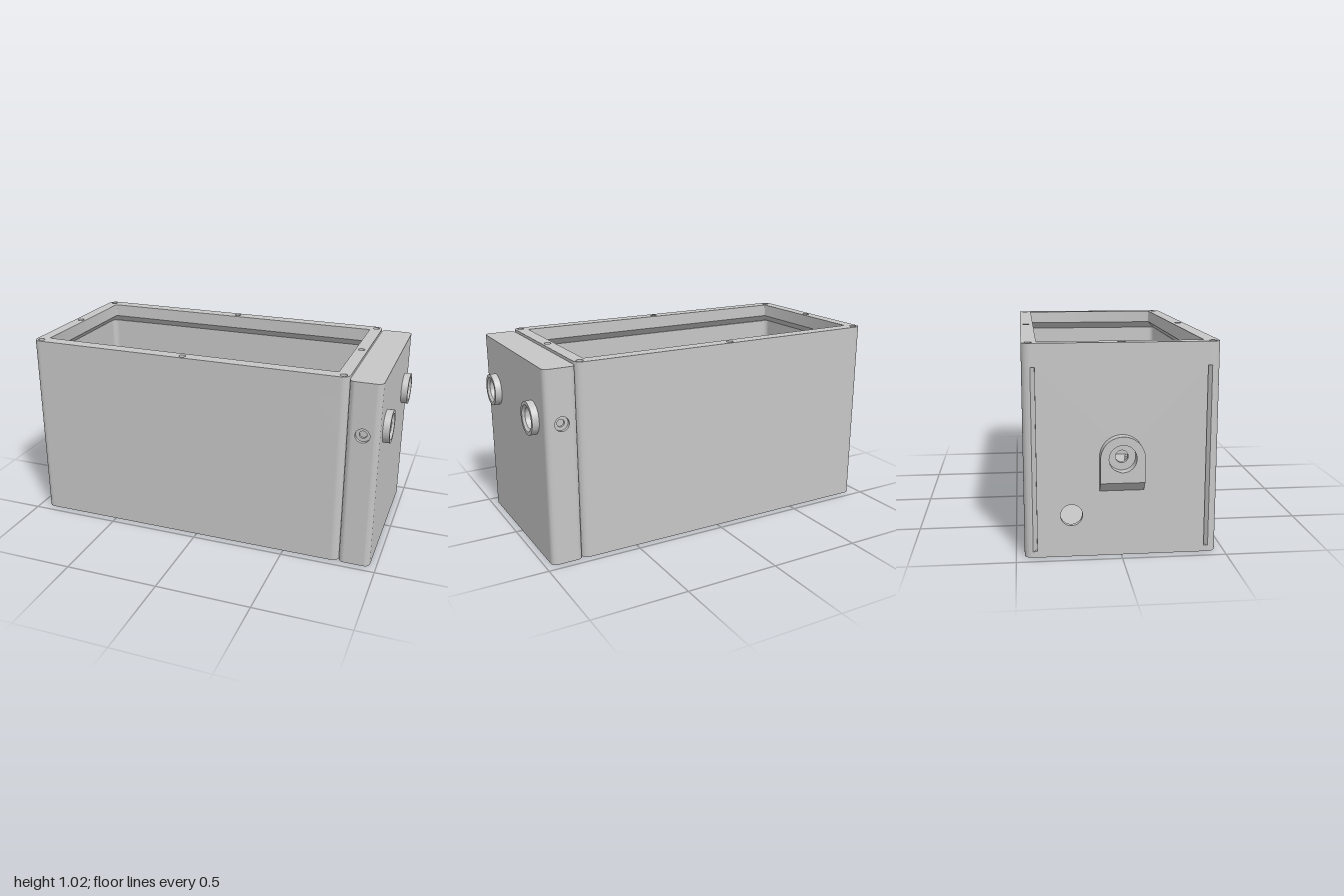
import * as THREE from 'three';
import { toCreasedNormals } from 'three/addons/utils/BufferGeometryUtils.js';

const metal = new THREE.MeshStandardMaterial({ color: 0xc6c6c6 });
metal.name = 'grey metal';

const X0 = -0.95, X1 = 0.8, X2 = 0.965, Z = 0.46; // case ends, end block face, half depth
const IX0 = -0.885, IX1 = 0.735, IZ = 0.39;       // opening inside the rim
const FLARE = 0.04;                               // cavity is wider than the opening
const CX0 = IX0 - FLARE, CX1 = IX1 + FLARE, CZ = IZ + FLARE;
const FLOOR = 0.03, WALL_TOP = 0.91, LIP = 0.95, TOP = 1.02;
const PORT_Y = 0.73, PORT_Z = 0.29;

function roundedRect(x0, x1, z, r, T = THREE.Shape) {
  const s = new T();
  s.absarc(x1 - r, z - r, r, 0, Math.PI / 2);
  s.absarc(x0 + r, z - r, r, Math.PI / 2, Math.PI);
  s.absarc(x0 + r, -z + r, r, Math.PI, Math.PI * 1.5);
  s.absarc(x1 - r, -z + r, r, Math.PI * 1.5, Math.PI * 2);
  s.closePath();
  return s;
}

function rect(x0, x1, y0, y1) {
  return new THREE.Shape([[x0, y0], [x1, y0], [x1, y1], [x0, y1]].map(([x, y]) => new THREE.Vector2(x, y)));
}

function disc(x, y, r) {
  const s = new THREE.Shape();
  s.absarc(x, y, r, 0, Math.PI * 2);
  return s;
}

function punch(shape, ...holes) {
  for (const [x, y, r] of holes) {
    const p = new THREE.Path();
    p.absarc(x, y, r, 0, Math.PI * 2, true);
    shape.holes.push(p);
  }
  return shape;
}

const extrude = (shape, depth) =>
  new THREE.ExtrudeGeometry(shape, { depth, bevelEnabled: false, curveSegments: 24 });
// Shape in (x, -z), raised from y0 to y1
const extrudeY = (shape, y0, y1) => extrude(shape, y1 - y0).rotateX(-Math.PI / 2).translate(0, y0, 0);
// Shape in (-z, y), running from x0 to x1
const extrudeX = (shape, x0, x1) => extrude(shape, x1 - x0).rotateY(Math.PI / 2).translate(x0, 0, 0);
const extrudeZ = (shape, z0, z1) => extrude(shape, z1 - z0).translate(0, 0, z0);

// Rim-shaped frame around the opening
function frame() {
  const s = roundedRect(X0, X1, Z, 0.04);
  s.holes.push(roundedRect(IX0, IX1, IZ, 0.006, THREE.Path));
  return s;
}

export function createModel() {
  const model = new THREE.Group();
  model.name = 'enclosure';
  const add = (name, geometry, parent = model) => {
    const m = new THREE.Mesh(toCreasedNormals(geometry, 0.5), metal);
    m.name = name;
    parent.add(m);
    return m;
  };

  // Case: floor with blind holes underneath, thin long walls, drilled end walls
  const box = new THREE.Group();
  box.name = 'case';
  model.add(box);
  const floor = punch(roundedRect(X0, X1, Z, 0.04), [-0.73, 0.235, 0.022], [-0.73, -0.235, 0.022]);
  add('floor', extrudeY(floor, 0, FLOOR), box);

  const ro = 0.04, ri = 0.03, seam = CZ - ri, P = Math.PI;
  for (const s of [1, -1]) {
    const w = new THREE.Shape();
    w.moveTo(X0, s * seam);
    w.absarc(X0 + ro, s * (Z - ro), ro, s * P, s * P / 2, s > 0);
    w.absarc(X1 - ro, s * (Z - ro), ro, s * P / 2, 0, s > 0);
    w.lineTo(X1, s * seam);
    w.absarc(CX1 - ri, s * seam, ri, 0, s * P / 2, s < 0);
    w.absarc(CX0 + ri, s * seam, ri, s * P / 2, s * P, s < 0);
    w.closePath();
    add(s > 0 ? 'backWall' : 'frontWall', extrudeY(w, FLOOR, WALL_TOP), box);
  }
  const ports = [[PORT_Z, PORT_Y, 0.055], [-PORT_Z, PORT_Y, 0.055]];
  const endWall = () => rect(-seam, seam, FLOOR, WALL_TOP);
  add('portEndWall', extrudeX(punch(endWall(), ...ports), CX1, X1), box);
  add('lugEndWall', extrudeX(punch(endWall(), [0, 0.485, 0.03], [0.237, 0.205, 0.052]), X0, CX0), box);

  // Sloped underside of the rim, flaring out to the cavity walls
  const slope = extrudeY(frame(), WALL_TOP, LIP);
  const sp = slope.attributes.position;
  for (let i = 0; i < sp.count; i++) {
    const x = sp.getX(i), z = sp.getZ(i);
    const inner = x > IX0 - 0.001 && x < IX1 + 0.001 && Math.abs(z) < IZ + 0.001;
    if (inner && sp.getY(i) < WALL_TOP + 0.001) {
      sp.setX(i, x + FLARE * Math.sign(x));
      sp.setZ(i, z + FLARE * Math.sign(z));
    }
  }
  add('rimUnderside', slope, box);

  // Top rim with screw holes
  const rim = frame();
  for (const x of [-0.915, -0.077, 0.767])
    for (const z of [-0.428, 0, 0.428])
      if (x !== -0.077 || z !== 0) punch(rim, [x, z, 0.018]);
  add('topRim', extrudeY(rim, LIP, TOP), box);

  // Standoffs on the floor, and pads closing the blind holes
  for (const s of [1, -1]) {
    for (const x of [-0.745, 0.592]) {
      const z = s * 0.255;
      add('standoff', extrudeY(punch(disc(x, z, 0.037), [x, z, 0.019]), FLOOR, FLOOR + 0.04), box);
    }
    add('standoffPad', extrudeY(disc(-0.73, s * 0.235, 0.047), FLOOR, FLOOR + 0.02), box);
  }

  // End block: bored core, counterbored sides, rounded corners
  const block = new THREE.Group();
  block.name = 'endBlock';
  model.add(block);
  const H = 1.005, r = 0.03, zc = Z - r, xm = 0.882;
  add('blockCore', extrudeX(punch(rect(-zc, zc, 0, H), ...ports), X1, X2), block);
  const side = radius => punch(rect(X1 + r, X2 - r, 0, H), [xm, PORT_Y, radius]);
  for (const s of [1, -1]) {
    const layer = (radius, a, b) => extrudeZ(side(radius), Math.min(s * a, s * b), Math.max(s * a, s * b));
    add('sideInner', layer(0.019, zc, zc + 0.012), block);
    add('sideOuter', layer(0.037, zc + 0.012, Z), block);
  }
  [[X2 - r, zc], [X2 - r, -zc], [X1 + r, -zc], [X1 + r, zc]].forEach(([x, z], i) => {
    const g = new THREE.CylinderGeometry(r, r, H, 12, 1, false, i * P / 2, P / 2);
    add('blockCorner', g.translate(x, H / 2, z), block);
  });

  // Port collars with chamfered mouths
  const profile = [[0.085, 0], [0.085, 0.035], [0.067, 0.035], [0.055, 0.023], [0.055, 0]]
    .map(([a, b]) => new THREE.Vector2(a, b));
  for (const s of [1, -1]) {
    const collar = add('portCollar', new THREE.LatheGeometry(profile, 48).rotateZ(-P / 2));
    collar.position.set(X2, PORT_Y, s * PORT_Z);
  }

  // Arched lug with a sloped underside
  const arch = new THREE.Shape();
  arch.moveTo(-0.105, 0.32);
  arch.lineTo(0.105, 0.32);
  arch.absarc(0, 0.485, 0.105, 0, P);
  arch.closePath();
  const lug = extrudeX(punch(arch, [0, 0.485, 0.065]), -1, X0);
  const p = lug.attributes.position;
  for (let i = 0; i < p.count; i++)
    if (p.getX(i) < -0.99 && p.getY(i) < 0.33) p.setY(i, 0.37);
  add('lug', lug);

  return model;
}
